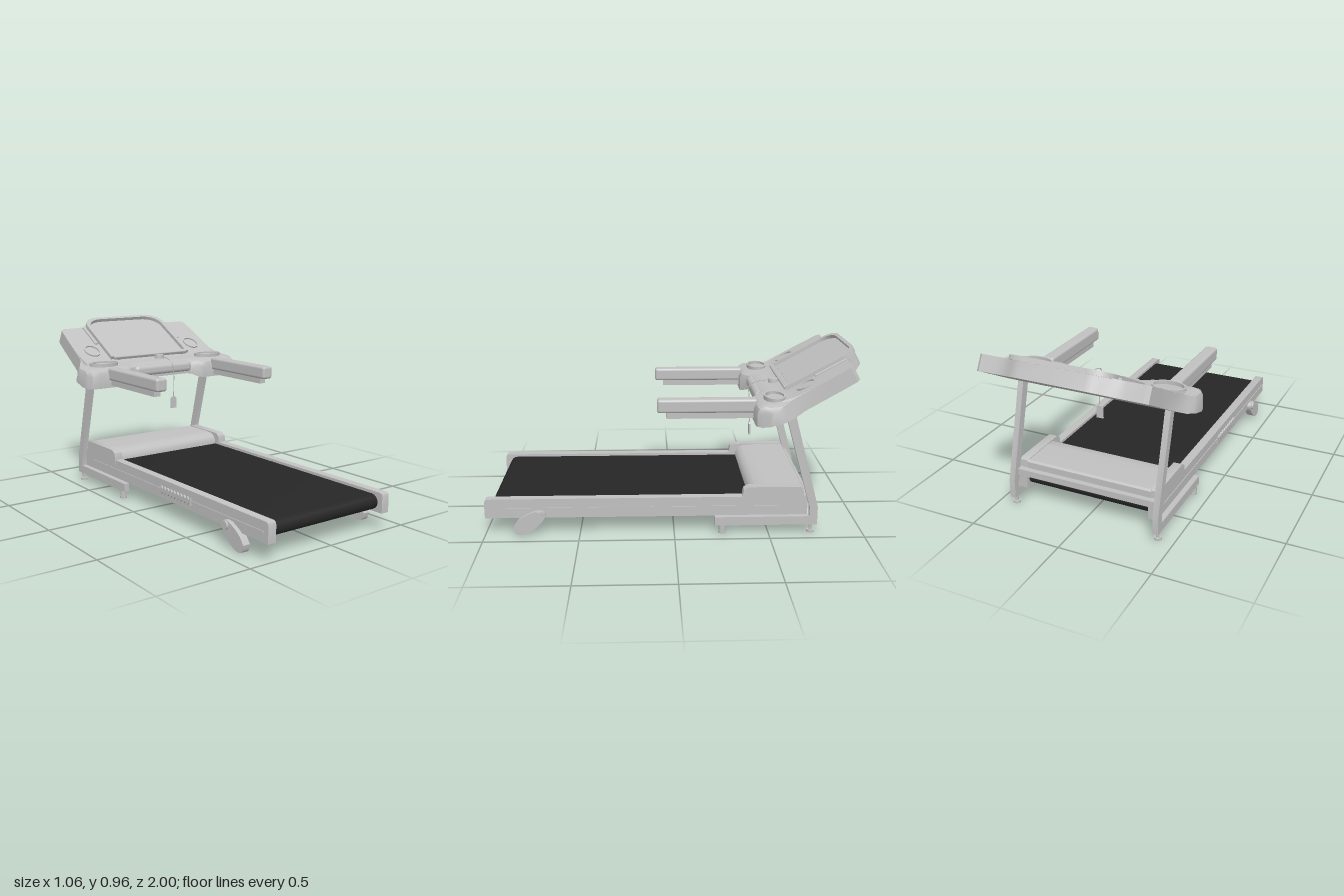
import * as THREE from 'three';
import { toCreasedNormals } from 'three/addons/utils/BufferGeometryUtils.js';
import { RoundedBoxGeometry } from 'three/addons/geometries/RoundedBoxGeometry.js';

const grey = new THREE.MeshStandardMaterial({ color: 0xc0c0c0 });
grey.name = 'light grey body';
const black = new THREE.MeshStandardMaterial({ color: 0x262626 });
black.name = 'black belt';

export function createModel() {
  const model = new THREE.Group();
  model.name = 'treadmill';

  function add(name, geo, mat = grey, parent = model) {
    const mesh = new THREE.Mesh(geo, mat);
    mesh.name = name;
    parent.add(mesh);
    return mesh;
  }
  // Box given by its limits, optionally rounded
  function box(x0, x1, y0, y1, z0, z1, r = 0) {
    const d = [x1 - x0, y1 - y0, z1 - z0];
    const g = r ? new RoundedBoxGeometry(...d, 3, r) : new THREE.BoxGeometry(...d);
    return g.translate((x0 + x1) / 2, (y0 + y1) / 2, (z0 + z1) / 2);
  }
  // Side profile of [z, y] points pushed out between two x values
  function sideExtrude(pts, x0, x1, smooth = false) {
    const v = pts.map(p => new THREE.Vector2(...p));
    const shape = smooth
      ? new THREE.Shape(new THREE.SplineCurve([...v, v[0]]).getPoints(40).slice(0, -1))
      : new THREE.Shape(v);
    const g = new THREE.ExtrudeGeometry(shape, { depth: x1 - x0, bevelEnabled: false, curveSegments: 8 });
    return toCreasedNormals(g.rotateY(-Math.PI / 2).translate(x1, 0, 0), 0.6);
  }
  const ellipse = (a, b) => new THREE.Shape().absellipse(0, 0, a, b, 0, Math.PI * 2);
  function ring(outer, inner, depth) {
    outer.holes.push(inner);
    return toCreasedNormals(new THREE.ExtrudeGeometry(outer, { depth, bevelEnabled: false, curveSegments: 24 }), 0.6);
  }

  // Running belt with rounded ends
  const belt = [];
  for (const [z, a0] of [[0.93, -90], [-0.65, 90]])
    for (let i = 0; i <= 8; i++) {
      const a = (a0 + i * 22.5) * Math.PI / 180;
      belt.push([z + 0.04 * Math.cos(a), 0.14 + 0.04 * Math.sin(a)]);
    }
  add('belt', sideExtrude(belt, -0.352, 0.352), black);

  // Motor hood and rear cross bar
  add('motorHood', sideExtrude([[-0.4, 0.17], [-0.4, 0.2], [-0.415, 0.225], [-0.44, 0.24],
    [-0.5, 0.245], [-0.68, 0.245], [-0.69, 0.235], [-0.69, 0.17]], -0.355, 0.355));
  add('rearCrossBar', box(-0.4, 0.4, 0.165, 0.2, -0.72, -0.685));

  for (const s of [-1, 1]) {
    const side = new THREE.Group();
    side.name = s > 0 ? 'leftSide' : 'rightSide';
    model.add(side);
    const span = (a, b) => (s > 0 ? [a, b] : [-b, -a]);

    // Side rail, trim groove and toothed grip
    add('sideRail', sideExtrude([[1, 0.09], [1, 0.178], [0.995, 0.19], [0.982, 0.195],
      [-0.71, 0.195], [-0.71, 0.09]], ...span(0.35, 0.397)), grey, side);
    add('railTrim', box(...span(0.395, 0.401), 0.134, 0.146, -0.62, 0.97), grey, side);
    const teeth = [];
    for (let i = 0; i <= 18; i++) teeth.push([0.13 + i * 0.015, i % 2 ? 0.148 : 0.162]);
    for (let i = 18; i >= 0; i--) teeth.push([0.13 + i * 0.015, i % 2 ? 0.132 : 0.118]);
    add('railGrip', sideExtrude(teeth, ...span(0.395, 0.406)), grey, side);
    add('hoodCap', sideExtrude([[-0.364, 0.17], [-0.364, 0.215], [-0.37, 0.235], [-0.395, 0.249],
      [-0.67, 0.249], [-0.685, 0.24], [-0.69, 0.17]], ...span(0.35, 0.4)), grey, side);

    // Upright, base bar and feet
    add('upright', sideExtrude([[-0.572, 0.66], [-0.717, 0.144], [-0.717, 0.045], [-0.76, 0.045],
      [-0.76, 0.144], [-0.618, 0.67]], ...span(0.396, 0.427)), grey, side);
    add('baseBar', box(...span(0.396, 0.427), 0.045, 0.092, -0.74, -0.215), grey, side);
    for (const [z, r] of [[-0.255, 0.018], [-0.727, 0.009]]) {
      add('footStem', new THREE.CylinderGeometry(r, r, 0.045, 20).translate(s * 0.411, 0.0265, z), grey, side);
      add('footPad', new THREE.CylinderGeometry(0.02, 0.02, 0.012, 20).translate(s * 0.411, 0.006, z), grey, side);
    }

    // Teardrop transport foot with pivot
    add('transportFoot', sideExtrude([[0.85, 0.045], [0.835, 0.006], [0.785, 0.006], [0.72, 0.05],
      [0.682, 0.1], [0.69, 0.127], [0.735, 0.13], [0.81, 0.092]], ...span(0.38, 0.42), true), grey, side);
    add('footPivot', new THREE.CylinderGeometry(0.022, 0.022, 0.035, 24)
      .rotateZ(Math.PI / 2).translate(s * 0.414, 0.11, 0.715), grey, side);

    // Handrail with lower strip
    add('handrail', box(...span(0.33, 0.397), 0.655, 0.727, -0.43, 0.088, 0.014), grey, side);
    add('handrailStrip', box(...span(0.344, 0.383), 0.624, 0.66, -0.43, 0.04), grey, side);
  }

  // Console: cross-sections lofted from right to left
  const slope = 0.545;
  const top = z => z < -0.58 ? 0.735 + slope * (-0.58 - z) : 0.735 + 0.1 * (-0.58 - z);
  const half = [ // x, front z, back z, bottom y, drop of the top
    [0, -0.45, -0.96, 0.64, 0], [0.17, -0.45, -0.96, 0.64, 0], [0.2, -0.45, -0.955, 0.635, 0],
    [0.23, -0.43, -0.94, 0.62, 0], [0.26, -0.41, -0.922, 0.612, 0], [0.3, -0.41, -0.905, 0.612, 0],
    [0.34, -0.41, -0.9, 0.612, 0], [0.43, -0.41, -0.9, 0.612, 0], [0.45, -0.41, -0.885, 0.612, 0],
    [0.457, -0.41, -0.8, 0.612, 0], [0.468, -0.41, -0.62, 0.612, 0], [0.5, -0.415, -0.565, 0.612, 0.002],
    [0.52, -0.44, -0.54, 0.612, 0.01], [0.53, -0.48, -0.52, 0.618, 0.035]];
  const stations = [...half.slice(1).reverse().map(([x, ...r]) => [-x, ...r]), ...half];
  const pos = [], idx = [];
  let n = 0;
  for (const [x, zf, zb, yb, drop] of stations) {
    const t = z => top(z) - drop;
    const w = Math.min(0.035, (zf - zb) / 3);
    const under = z => z < -0.61 ? 0.655 + 0.55 * (-0.61 - z) : yb + (0.655 - yb) * (zf - z) / (zf + 0.61);
    const loop = [[zf, yb], [zf, t(zf) - 0.035], [zf - w * 0.3, t(zf) - 0.012]];
    for (let i = 0; i <= 12; i++) {
      const z = zf - w + (zb - zf + w) * i / 12;
      loop.push([z, t(z)]);
    }
    for (let i = 0; i < 8; i++) {
      const z = zb - 0.04 + (zf - zb + 0.04) * i / 8;
      loop.push([z, under(z)]);
    }
    n = loop.length;
    for (const [z, y] of loop) pos.push(x, y, z);
  }
  const last = (stations.length - 1) * n;
  for (let j = 0; j < last; j += n)
    for (let i = 0; i < n; i++) {
      const k = (i + 1) % n;
      idx.push(j + i, j + n + i, j + n + k, j + i, j + n + k, j + k);
    }
  for (let i = 1; i < n - 1; i++) idx.push(0, i, i + 1, last, last + i + 1, last + i);
  const loft = new THREE.BufferGeometry();
  loft.setAttribute('position', new THREE.Float32BufferAttribute(pos, 3));
  loft.setIndex(idx);
  add('console', toCreasedNormals(loft, 0.55));

  // Details lying on the sloping panel (local y runs up the slope)
  const panel = new THREE.Group();
  panel.name = 'panelDetails';
  panel.position.set(0, 0.735, -0.58);
  panel.rotation.x = Math.atan(slope) - Math.PI / 2;
  model.add(panel);
  function arch(w, y0, y1) {
    const s = new THREE.Shape();
    s.moveTo(-w, y0).lineTo(w, y0).lineTo(w, y1 - 0.09);
    s.bezierCurveTo(w, y1 - 0.03, w - 0.05, y1, w - 0.11, y1).lineTo(-w + 0.11, y1);
    s.bezierCurveTo(-w + 0.05, y1, -w, y1 - 0.03, -w, y1 - 0.09);
    return s;
  }
  add('screenFrame', ring(arch(0.277, 0.02, 0.437), arch(0.256, 0.035, 0.418), 0.024), grey, panel)
    .position.z = -0.004;
  add('screen', new THREE.ExtrudeGeometry(arch(0.245, 0.045, 0.408), { depth: 0.004, bevelEnabled: false }), grey, panel);
  add('screenLedge', box(-0.26, 0.26, 0.01, 0.035, -0.01, 0.022, 0.006), grey, panel);
  for (const s of [-1, 1]) {
    add('speakerStrip', box(s * 0.295 - 0.009, s * 0.295 + 0.009, 0.18, 0.36, -0.005, 0.01, 0.004), grey, panel);
    add('cupRim', ring(ellipse(0.047, 0.053), ellipse(0.042, 0.048), 0.008), grey, panel)
      .position.set(s * 0.357, 0.114, 0);
    add('trayRim', ring(ellipse(0.09, 0.056), ellipse(0.08, 0.047), 0.02).rotateX(-Math.PI / 2))
      .position.set(s * 0.371, 0.724, -0.518);
  }
  add('controlBar', box(-0.2, 0.2, 0.65, 0.715, -0.5, -0.438, 0.025));

  // Safety key with cord and tag
  add('safetyKey', new THREE.CylinderGeometry(0.028, 0.03, 0.022, 28).translate(0.04, 0.742, -0.56));
  const cord = new THREE.CatmullRomCurve3([[0.04, 0.748, -0.55], [0.043, 0.738, -0.47], [0.046, 0.715, -0.428],
    [0.056, 0.65, -0.426], [0.058, 0.58, -0.43], [0.057, 0.505, -0.432]].map(p => new THREE.Vector3(...p)));
  add('safetyCord', new THREE.TubeGeometry(cord, 30, 0.0025, 6));
  add('safetyTag', sideExtrude([[-0.037, 0.44], [-0.075, 0.44], [-0.075, 0.5], [-0.066, 0.51],
    [-0.046, 0.51], [-0.037, 0.5]], -0.004, 0.004).rotateY(Math.PI / 2).translate(0.112, 0, -0.432));
  model.getObjectByName('safetyTag').position.x = 0.056 - 0.056 + 0;
  const tag = model.getObjectByName('safetyTag');
  tag.geometry.computeBoundingBox();
  tag.position.x = 0.056 - tag.geometry.boundingBox.getCenter(new THREE.Vector3()).x;
  return model;
}
